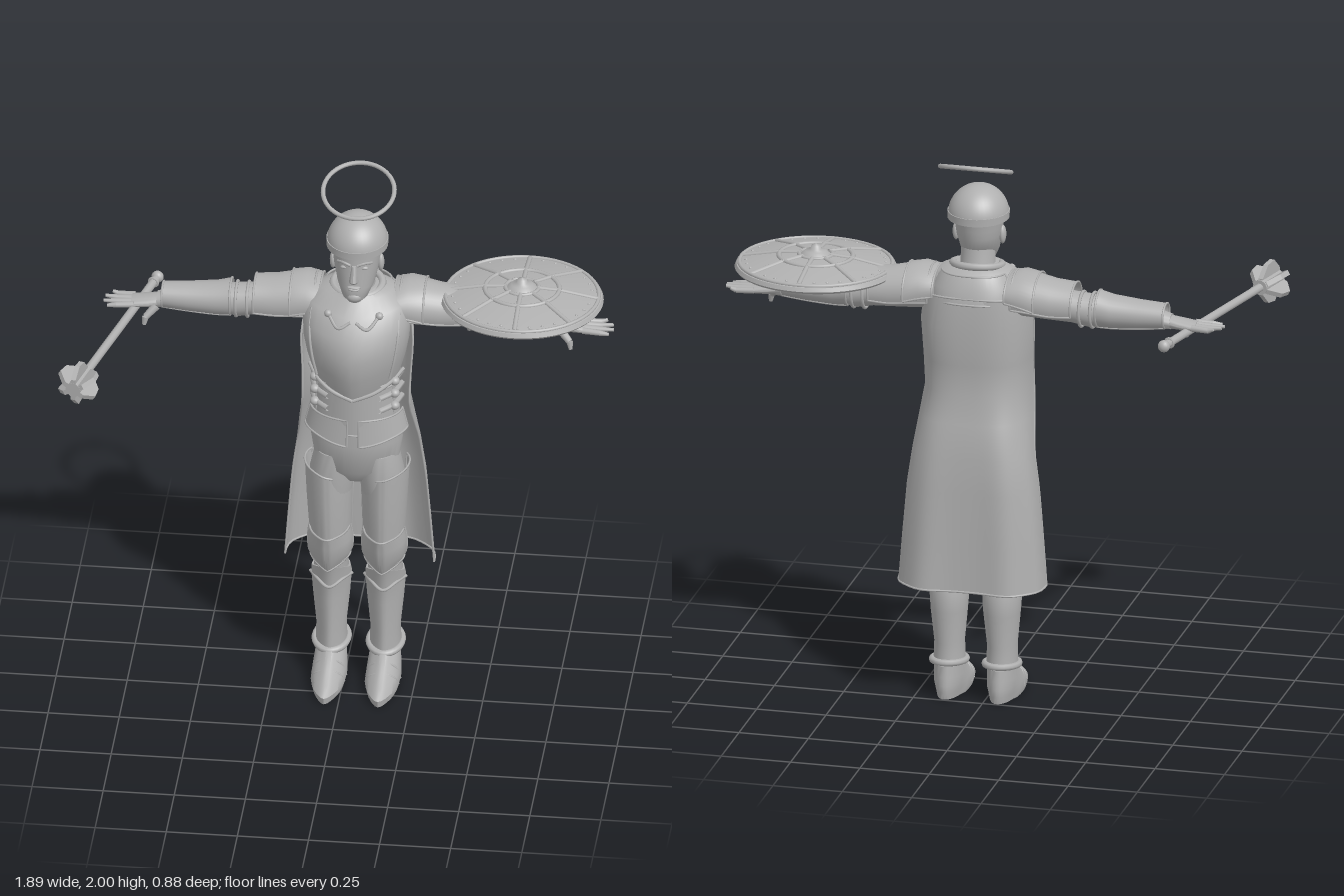
import * as THREE from 'three';
import { toCreasedNormals } from 'three/addons/utils/BufferGeometryUtils.js';

const { PI, sin, cos, abs, sign, max } = Math;
const CX = 0.045; // body centre line

export function createModel() {
  const steel = new THREE.MeshStandardMaterial({ color: 0xb0b0b0, side: THREE.DoubleSide });
  steel.name = 'grey';
  const model = new THREE.Group();
  const body = new THREE.Group();
  body.name = 'body';
  body.position.x = CX;
  model.add(body);

  const add = (parent, name, geo, p = [0, 0, 0], r = [0, 0, 0], s = [1, 1, 1]) => {
    const m = new THREE.Mesh(geo, steel);
    m.name = name;
    m.position.set(...p); m.rotation.set(...r); m.scale.set(...s);
    parent.add(m);
    return m;
  };
  const ball = (parent, name, p, s) => add(parent, name, new THREE.SphereGeometry(1, 16, 12), p, [0, 0, 0], s);

  // Tapered rod between two points
  const rod = (parent, name, a, b, r1, r2 = r1) => {
    const A = new THREE.Vector3(...a), d = new THREE.Vector3(...b).sub(A);
    const m = add(parent, name, new THREE.CylinderGeometry(r2, r1, d.length(), 10));
    m.position.copy(A).addScaledVector(d, 0.5);
    m.quaternion.setFromUnitVectors(new THREE.Vector3(0, 1, 0), d.normalize());
  };
  const wire = (parent, name, pts, r) => add(parent, name, new THREE.TubeGeometry(
    new THREE.CatmullRomCurve3(pts.map(q => new THREE.Vector3(...q))), 24, r, 6));

  // Skin over elliptical rings [t, a, b, ra, rb]; along y: a, b = x, z; along x: a, b = y, z.
  // The angle runs from +a towards +z; an arc leaves an open plate, which gets a raised border.
  const loft = (parent, name, rings, o = {}) => {
    const { axis = 'y', n = 32, arc = [0, 2 * PI], ridge = 0, pow = 1, s = 1, edit, border = 0.004 } = o;
    const full = arc[1] - arc[0] > 6.28, pos = [], idx = [], w = n + 1;
    const P = (i, j) => pos.slice((i * w + j) * 3, (i * w + j) * 3 + 3);
    rings.forEach(([t, a, b, ra, rb], i) => {
      for (let j = 0; j <= n; j++) {
        const th = arc[0] + (arc[1] - arc[0]) * j / n, c = cos(th), q = sin(th);
        const u = a + ra * sign(c) * abs(c) ** pow;
        const v = b + rb * sign(q) * abs(q) ** pow + ridge * max(0, q) ** 12;
        const p = axis === 'y' ? [u, t, v] : [s * t, u, v];
        if (edit) edit(p, i / (rings.length - 1), th);
        pos.push(...p);
      }
    });
    const flip = (axis === 'x') !== (s < 0);
    const tri = (a, b, c) => flip ? idx.push(a, c, b) : idx.push(a, b, c);
    for (let i = 0; i < rings.length - 1; i++) for (let j = 0; j < n; j++) {
      const k = i * w + j;
      tri(k, k + w, k + 1); tri(k + 1, k + w, k + w + 1);
    }
    const last = (rings.length - 1) * w;
    if (full) for (let j = 1; j < n - 1; j++) { tri(0, j, j + 1); tri(last, last + j + 1, last + j); }
    const g = new THREE.BufferGeometry();
    g.setAttribute('position', new THREE.Float32BufferAttribute(pos, 3));
    g.setIndex(idx);
    add(parent, name, toCreasedNormals(g, 0.7));
    if (!full && border) {
      for (const i of [0, rings.length - 1]) wire(parent, name + 'Border', Array.from({ length: w }, (_, j) => P(i, j)), border);
      for (const j of [0, n]) wire(parent, name + 'Border', rings.map((_, i) => P(i, j)), border);
    }
  };

  // Head, face and neck
  const head = new THREE.Group(); head.name = 'head'; body.add(head);
  loft(head, 'face', [[1.585, 0, -0.045, 0.025, 0.028], [1.60, 0, -0.06, 0.045, 0.05], [1.64, 0, -0.098, 0.066, 0.085],
    [1.70, 0, -0.112, 0.079, 0.097], [1.73, 0, -0.115, 0.083, 0.098], [1.78, 0, -0.12, 0.088, 0.105]]);
  loft(head, 'neck', [[1.5, 0, -0.15, 0.075, 0.075], [1.58, 0, -0.14, 0.062, 0.062], [1.67, 0, -0.125, 0.06, 0.065]]);
  loft(head, 'nose', [[1.672, 0, -0.015, 0.017, 0.02], [1.68, 0, -0.012, 0.016, 0.026], [1.735, 0, -0.02, 0.008, 0.012]], { n: 12 });
  ball(head, 'upperLip', [0, 1.65, -0.014], [0.024, 0.005, 0.01]);
  ball(head, 'lowerLip', [0, 1.64, -0.016], [0.02, 0.006, 0.01]);
  ball(head, 'chin', [0, 1.605, -0.025], [0.026, 0.02, 0.018]);
  for (const s of [-1, 1]) {
    ball(head, 'eye', [s * 0.034, 1.722, -0.03], [0.015, 0.007, 0.008]);
    wire(head, 'brow', [[s * 0.012, 1.738, -0.014], [s * 0.035, 1.745, -0.02], [s * 0.06, 1.737, -0.045]], 0.005);
    ball(head, 'ear', [s * 0.084, 1.7, -0.115], [0.012, 0.034, 0.02]);
  }
  // Round helmet with a band
  add(head, 'helmet', new THREE.SphereGeometry(1, 40, 16, 0, 2 * PI, 0, PI / 2), [0, 1.775, -0.127], [0, 0, 0], [0.107, 0.108, 0.116]);
  loft(head, 'helmetBand', [[1.763, 0, -0.127, 0.108, 0.117], [1.79, 0, -0.127, 0.109, 0.118]]);
  // Halo, higher at the back
  add(body, 'halo', new THREE.TorusGeometry(0.125, 0.008, 8, 48), [0, 1.952, -0.168], [PI / 2 + 0.36, 0, 0]);

  // Torso
  loft(body, 'waist', [[0.83, 0, -0.12, 0.07, 0.06], [0.89, 0, -0.115, 0.145, 0.105], [1.0, 0, -0.115, 0.162, 0.115],
    [1.1, 0, -0.11, 0.152, 0.115], [1.2, 0, -0.11, 0.145, 0.12], [1.32, 0, -0.11, 0.155, 0.13]]);
  const chest = [[1.21, 0, -0.1, 0.15, 0.12], [1.3, 0, -0.1, 0.173, 0.152], [1.38, 0, -0.1, 0.186, 0.162],
    [1.46, 0, -0.11, 0.19, 0.16], [1.53, 0, -0.14, 0.18, 0.138], [1.575, 0, -0.15, 0.13, 0.1], [1.6, 0, -0.14, 0.085, 0.075]];
  loft(body, 'breastplate', chest, { ridge: 0.012, edit: (p, u, th) => { p[1] += 0.055 * (1 - u) * abs(cos(th)); } });
  const onChest = (th, i, off = 0.004) => [cos(th) * (chest[i][3] + off), chest[i][0], chest[i][2] + sin(th) * (chest[i][4] + off) + 0.012 * max(0, sin(th)) ** 12];
  for (const s of [-1, 1]) {
    wire(body, 'breastplateSeam', [1, 2, 3, 4].map(i => onChest(PI / 2 + s * (0.75 + 0.06 * i), i)), 0.005);
    wire(body, 'waistTrim', [[0, 1.215, 0.036], [s * 0.075, 1.24, 0.016], [s * 0.13, 1.265, -0.03], [s * 0.165, 1.28, -0.1]], 0.007);
    wire(body, 'chestClasp', [[s * 0.09, 1.54, -0.012], [s * 0.05, 1.505, 0.03], [s * 0.01, 1.525, 0.02]], 0.006);
    ball(body, 'claspPin', [s * 0.09, 1.54, -0.012], [0.014, 0.014, 0.014]);
    // Side buckles
    for (const y of [1.16, 1.21, 1.26]) {
      wire(body, 'sideStrap', [[s * 0.09, y - 0.005, -0.005], [s * 0.135, y, -0.05], [s * 0.157, y, -0.12]], 0.011);
      ball(body, 'buckle', [s * 0.14, y, -0.045], [0.018, 0.016, 0.018]);
    }
    // Hip plates
    const a = PI / 2 - s * 0.12, b = PI / 2 - s * 1.5;
    loft(body, 'hipPlate', [[1.045, 0, -0.11, 0.18, 0.13], [1.12, 0, -0.11, 0.162, 0.125]], {
      arc: [Math.min(a, b), max(a, b)], n: 12, edit: (p, u, th) => { p[1] -= 0.03 * (1 - u) * sin(th) ** 4; } });
  }
  add(body, 'collar', new THREE.TorusGeometry(0.082, 0.013, 8, 36), [0, 1.595, -0.142], [PI / 2 + 0.15, 0, 0], [1.05, 0.98, 1]);
  loft(body, 'bellyPlate', [[1.06, 0, -0.11, 0.157, 0.119], [1.15, 0, -0.11, 0.152, 0.124], [1.24, 0, -0.11, 0.15, 0.128]],
    { arc: [PI * 0.15, PI * 0.85], ridge: 0.006 });

  // Cape, open to the front
  const capeRows = [[0.44, 0.262, -0.195, -0.362], [0.6, 0.25, -0.193, -0.352], [0.8, 0.233, -0.19, -0.345], [0.93, 0.215, -0.18, -0.335],
    [1.05, 0.2, -0.12, -0.315], [1.15, 0.188, -0.08, -0.285], [1.26, 0.19, -0.1, -0.292], [1.4, 0.196, -0.12, -0.303], [1.51, 0.175, -0.18, -0.292]];
  loft(body, 'cape', capeRows.map(([y, w, e, b]) => [y, 0, e, w, e - b]), {
    arc: [PI, 2 * PI], n: 48, pow: 0.7,
    edit: (p, u, th) => { p[2] += 0.012 * max(0, 1 - u * 1.6) * (cos(th * 6) - 1) * sin(th) ** 2 * -1; } });
  loft(body, 'backPlate', [[1.49, 0, -0.15, 0.16, 0.148], [1.54, 0, -0.15, 0.155, 0.14], [1.585, 0, -0.15, 0.12, 0.115]],
    { arc: [PI * 1.12, PI * 1.88], pow: 0.8 });

  for (const s of [-1, 1]) {
    // Arm
    const arm = new THREE.Group(); arm.name = s > 0 ? 'leftArm' : 'rightArm'; body.add(arm);
    const X = { axis: 'x', s, n: 24 };
    loft(arm, 'sleeve', [[0.13, 1.51, -0.18, 0.075, 0.08], [0.25, 1.495, -0.185, 0.066, 0.07], [0.36, 1.48, -0.185, 0.056, 0.06],
      [0.42, 1.472, -0.185, 0.06, 0.06], [0.48, 1.474, -0.185, 0.052, 0.055], [0.6, 1.47, -0.185, 0.045, 0.048], [0.71, 1.455, -0.182, 0.027, 0.035]], X);
    loft(arm, 'shoulderPlate', [[0.15, 1.505, -0.18, 0.088, 0.1], [0.22, 1.5, -0.183, 0.09, 0.098], [0.29, 1.49, -0.185, 0.085, 0.09], [0.365, 1.49, -0.185, 0.078, 0.086]],
      { ...X, arc: [-PI * 0.6, PI * 0.6] });
    loft(arm, 'shoulderCap', [[0.13, 1.515, -0.175, 0.07, 0.11], [0.18, 1.51, -0.18, 0.09, 0.112], [0.235, 1.495, -0.183, 0.096, 0.108]],
      { ...X, arc: [-PI * 0.55, PI * 0.55] });
    loft(arm, 'forearmGuard', [[0.45, 1.482, -0.185, 0.066, 0.068], [0.5, 1.475, -0.185, 0.06, 0.064], [0.6, 1.473, -0.185, 0.052, 0.056], [0.69, 1.475, -0.184, 0.044, 0.05]],
      { ...X, arc: [-PI * 0.85, PI * 0.85] });
    for (const [t, r] of [[0.39, 0.062], [0.43, 0.062]])
      add(arm, 'elbowStrap', new THREE.TorusGeometry(r, 0.006, 6, 24), [s * t, 1.474, -0.185], [0, PI / 2, 0]);
    loft(arm, 'palm', [[0.69, 1.456, -0.182, 0.024, 0.032], [0.74, 1.45, -0.18, 0.02, 0.04], [0.8, 1.445, -0.18, 0.014, 0.042]], X);
    [0.87, 0.893, 0.897, 0.882].forEach((tip, i) => {
      const z = -0.213 + i * 0.022;
      rod(arm, 'finger', [s * 0.79, 1.447, z], [s * 0.85, 1.445, z - 0.006 + i * 0.004], 0.012, 0.01);
      rod(arm, 'fingerTip', [s * 0.85, 1.445, z - 0.006 + i * 0.004], [s * tip, 1.452 - i * 0.003, z - 0.009 + i * 0.006], 0.01, 0.006);
    });
    rod(arm, 'thumb', [s * 0.71, 1.445, -0.15], [s * 0.745, 1.41, -0.13], 0.016, 0.012);
    rod(arm, 'thumbTip', [s * 0.745, 1.41, -0.13], [s * 0.75, 1.382, -0.125], 0.012, 0.007);

    // Leg
    const leg = new THREE.Group(); leg.name = s > 0 ? 'leftLeg' : 'rightLeg'; leg.position.x = s * 0.095; body.add(leg);
    loft(leg, 'limb', [[0.1, 0, -0.165, 0.045, 0.055], [0.18, 0, -0.165, 0.046, 0.058], [0.3, 0, -0.17, 0.058, 0.073], [0.4, 0, -0.165, 0.062, 0.075],
      [0.5, 0, -0.145, 0.058, 0.07], [0.6, 0, -0.13, 0.066, 0.08], [0.75, 0, -0.12, 0.075, 0.09], [0.86, -s * 0.01, -0.115, 0.08, 0.1], [0.95, -s * 0.02, -0.115, 0.07, 0.095]]);
    loft(leg, 'thighPlate', [[0.5, 0, -0.13, 0.07, 0.085], [0.62, 0, -0.125, 0.074, 0.092], [0.75, s * 0.002, -0.12, 0.08, 0.098], [0.87, s * 0.004, -0.125, 0.085, 0.105]],
      { arc: [s > 0 ? -PI * 0.2 : -PI * 0.02, s > 0 ? PI * 1.02 : PI * 1.2], ridge: 0.008,
        edit: (p, u) => { if (u === 1) p[1] += s * 0.25 * (p[0] - s * 0.03); } });
    loft(leg, 'kneePlate', [[0.47, 0, -0.125, 0.068, 0.075], [0.53, 0, -0.115, 0.078, 0.095], [0.58, 0, -0.115, 0.078, 0.105], [0.625, 0, -0.11, 0.07, 0.11]],
      { arc: [-0.1, PI + 0.1], ridge: 0.014, edit: (p, u, th) => { if (u === 0) p[1] += 0.03 * abs(cos(th)); } });
    loft(leg, 'shinGuard', [[0.13, 0, -0.165, 0.055, 0.07], [0.2, 0, -0.163, 0.053, 0.068], [0.32, 0, -0.168, 0.065, 0.077], [0.4, 0, -0.165, 0.071, 0.08], [0.47, 0, -0.15, 0.068, 0.085]],
      { ridge: 0.01, edit: (p, u, th) => { if (u === 1) p[1] -= 0.04 * (1 - max(0, sin(th))); } });
    wire(leg, 'shinTrim', [[-0.073, 0.4, -0.155], [-0.045, 0.405, -0.1], [0, 0.385, -0.07], [0.045, 0.405, -0.1], [0.073, 0.4, -0.155]], 0.006);
    add(leg, 'ankleCuff', new THREE.TorusGeometry(0.062, 0.012, 8, 28), [0, 0.128, -0.168], [PI / 2 + 0.12, 0, 0], [0.95, 1.3, 1]);

    // Pointed armoured shoe
    const shoe = [[0, 0, -0.09, 0.056, 0.155], [0.025, 0, -0.09, 0.062, 0.16], [0.05, 0, -0.11, 0.06, 0.14], [0.08, 0, -0.14, 0.056, 0.105], [0.12, 0, -0.165, 0.052, 0.075]];
    loft(leg, 'shoe', shoe, { ridge: 0.02, edit: (p) => { if (p[2] < -0.17 && p[1] < 0.03) p[0] *= 0.9; } });
    for (const [z, h, w] of [[0.02, 0.052, 0.046], [-0.02, 0.073, 0.056], [-0.06, 0.098, 0.058]])
      wire(leg, 'shoeBand', [[-w, 0.02, z - 0.03], [-w * 0.75, h * 0.75, z - 0.012], [0, h, z], [w * 0.75, h * 0.75, z - 0.012], [w, 0.02, z - 0.03]], 0.006);
  }

  // Round shield lying over the left forearm
  const shield = new THREE.Group(); shield.name = 'shield';
  shield.position.set(0.618, 1.535, -0.18); shield.scale.x = 1.065; model.add(shield);
  const rim = [[0, 0.042], [0.14, 0.034], [0.24, 0.008], [0.262, 0], [0.268, 0.008], [0.262, 0.022], [0.245, 0.027], [0.13, 0.05], [0, 0.06]];
  add(shield, 'shieldDisc', toCreasedNormals(new THREE.LatheGeometry(rim.map(p => new THREE.Vector2(...p)), 64), 0.5));
  const top = r => r > 0.13 ? 0.05 - (r - 0.13) * 0.2 : 0.06 - r * 0.077;
  for (const [r, t] of [[0.252, 0.007], [0.122, 0.008], [0.055, 0.007]])
    add(shield, 'shieldRing', new THREE.TorusGeometry(r, t, 8, 56), [0, top(r), 0], [PI / 2, 0, 0]);
  for (let i = 0; i < 8; i++) {
    const c = cos(i * PI / 4), q = sin(i * PI / 4);
    rod(shield, 'shieldSpoke', [c * 0.05, top(0.05), q * 0.05], [c * 0.13, top(0.13), q * 0.13], 0.008);
    rod(shield, 'shieldSpoke', [c * 0.13, top(0.13), q * 0.13], [c * 0.25, top(0.25), q * 0.25], 0.008);
    for (const d of [0.2, 0.39, 0.58]) {
      const a = i * PI / 4 + d;
      ball(shield, 'rivet', [cos(a) * 0.23, top(0.23), sin(a) * 0.23], [0.005, 0.004, 0.005]);
    }
  }
  add(shield, 'shieldBoss', new THREE.LatheGeometry([[0.05, 0.055], [0.035, 0.07], [0.018, 0.074], [0.015, 0.088], [0, 0.094]]
    .map(p => new THREE.Vector2(...p)), 28));

  // Flanged mace in the right hand
  const mace = new THREE.Group(); mace.name = 'mace';
  mace.position.set(-0.685, 1.43, -0.37);
  mace.quaternion.setFromUnitVectors(new THREE.Vector3(0, 1, 0), new THREE.Vector3(-0.21, 0, 0.8).normalize());
  model.add(mace);
  rod(mace, 'maceShaft', [0, 0, 0], [0, 0.74, 0], 0.015);
  ball(mace, 'pommel', [0, 0, 0], [0.022, 0.02, 0.022]);
  add(mace, 'gripRing', new THREE.TorusGeometry(0.016, 0.005, 6, 16), [0, 0.04, 0], [PI / 2, 0, 0]);
  rod(mace, 'maceCore', [0, 0.69, 0], [0, 0.82, 0], 0.028, 0.028);
  const flange = new THREE.ExtrudeGeometry(new THREE.Shape([[0, -0.06], [0.03, -0.06], [0.07, -0.02], [0.076, 0.025], [0.04, 0.062], [0, 0.062]]
    .map(p => new THREE.Vector2(...p))), { depth: 0.018, bevelEnabled: false }).translate(0, 0, -0.009);
  for (let i = 0; i < 6; i++) add(mace, 'maceFlange', flange, [0, 0.757, 0], [0, i * PI / 3 + 0.25, 0]);

  return model;
}
